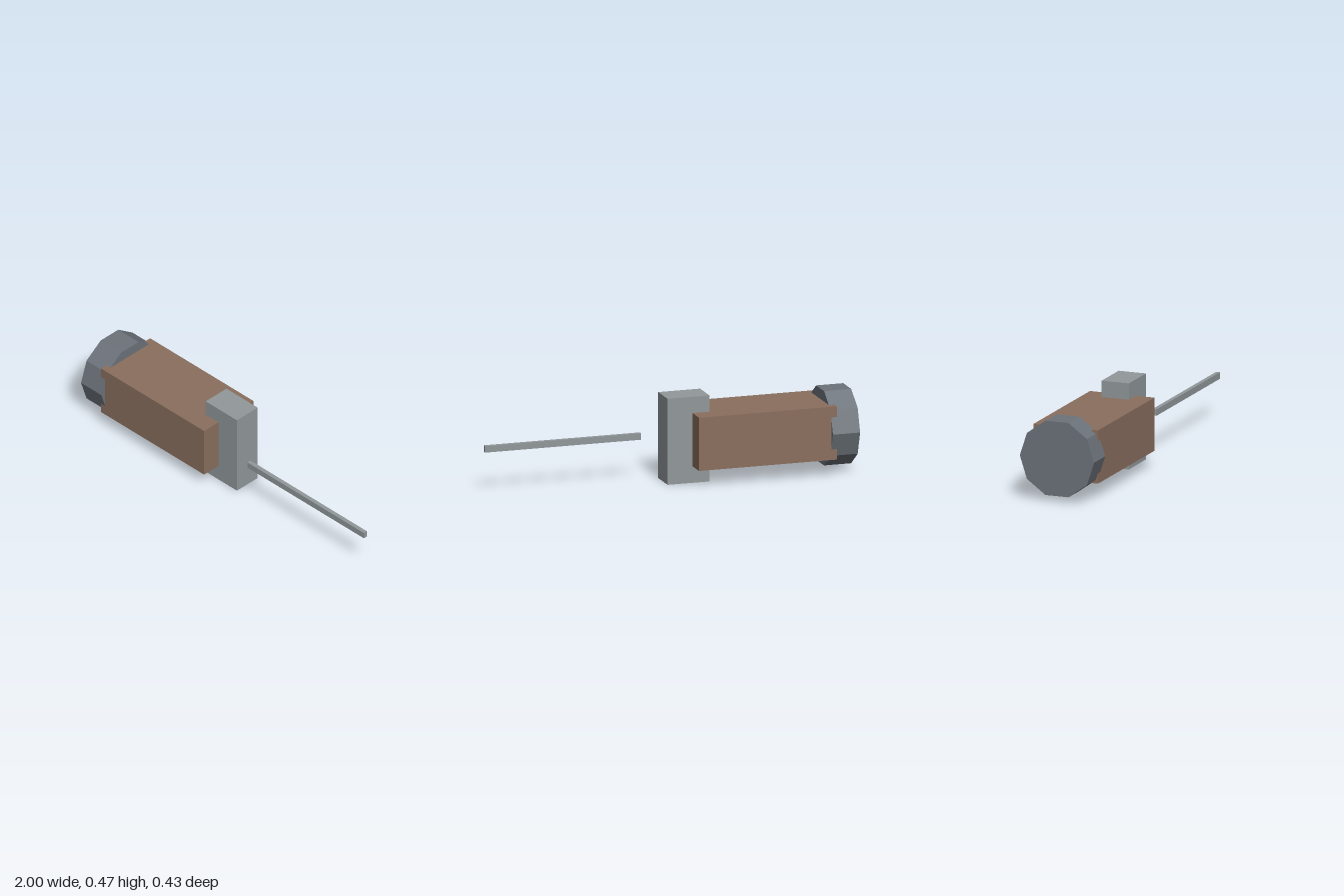
import * as THREE from 'three';

export function createModel() {
  const model = new THREE.Group();
  const material = (name, color) => {
    const m = new THREE.MeshStandardMaterial({ color, flatShading: true });
    m.name = name;
    return m;
  };
  const steel = material('lightSteel', 0x92989b);
  const darkSteel = material('darkSteel', 0x6d737b);
  const leather = material('brownGrip', 0x8a6f5e);

  const add = (name, geometry, mat) => {
    const mesh = new THREE.Mesh(geometry, mat);
    mesh.name = name;
    model.add(mesh);
    return mesh;
  };
  // Box given by its limits on each axis
  const box = (name, [x0, x1], [y0, y1], [z0, z1], mat) =>
    add(name, new THREE.BoxGeometry(x1 - x0, y1 - y0, z1 - z0), mat)
      .position.set((x0 + x1) / 2, (y0 + y1) / 2, (z0 + z1) / 2);

  // Grip, crossguard and the thin detached rod
  box('grip', [-0.88, -0.108], [0.09, 0.381], [-0.185, 0.185], leather);
  box('guard', [-0.203, 0.031], [0, 0.47], [-0.078, 0.078], steel);
  box('rod', [0.128, 1], [0.218, 0.253], [0.075, 0.098], steel);

  // Ten-sided pommel lying along x
  const pommel = new THREE.CylinderGeometry(0.2135, 0.2135, 0.152, 10).rotateZ(Math.PI / 2);
  add('pommel', pommel, darkSteel).position.set(-0.924, 0.235, 0);

  return model;
}
